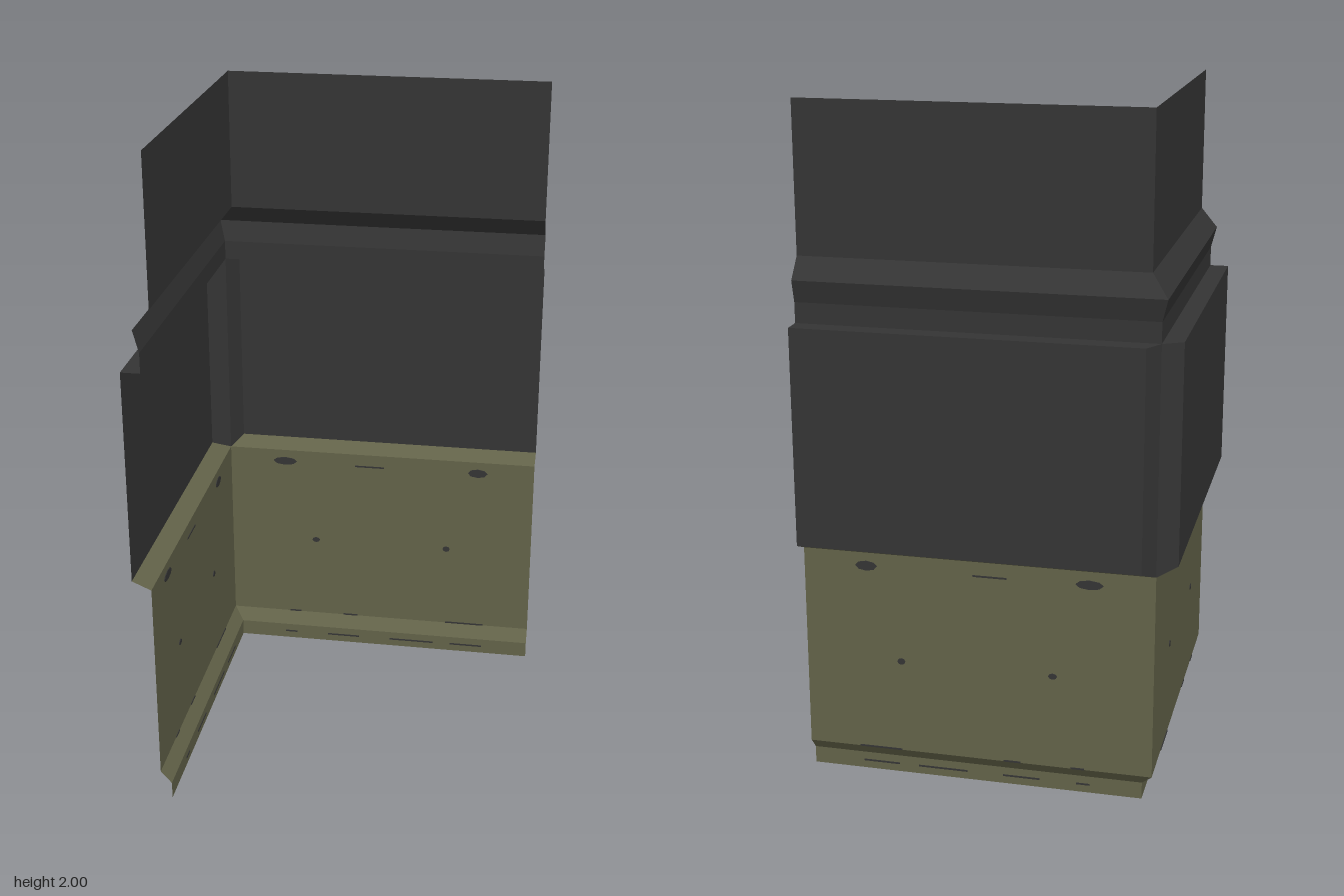
import * as THREE from 'three';

export function createModel() {
  const model = new THREE.Group();
  model.name = 'cornerWall';
  const dark = new THREE.MeshStandardMaterial({ color: 0x343434, side: THREE.DoubleSide });
  dark.name = 'darkGrey';
  const olive = new THREE.MeshStandardMaterial({ color: 0x626248, side: THREE.DoubleSide });
  olive.name = 'olive';

  const END = 0.545;
  // section rows: height, offset of the sheet, where it meets the corner
  const upperRows = [
    [2, -0.455, -0.455], [1.565, -0.455, -0.455], [1.505, -0.505, -0.505],
    [1.44, -0.488, -0.488], [1.38, -0.488, -0.488], [1.38, -0.545, -0.455], [0.735, -0.545, -0.455],
  ];
  const lowerRows = [
    [0.735, -0.545, -0.455], [0.71, -0.488, -0.488], [0.09, -0.488, -0.488],
    [0.052, -0.455, -0.455], [0, -0.455, -0.455],
  ];

  // flat quads, each given as a, b, c, d anticlockwise seen from inside the corner;
  // swapping x and z mirrors them onto the side wall
  function quadMesh(name, quads, material, swap) {
    const pos = [];
    for (const [a, b, c, d] of quads) {
      for (const p of swap ? [a, c, b, a, d, c] : [a, b, c, a, c, d]) {
        pos.push(...(swap ? [p[2], p[1], p[0]] : p));
      }
    }
    const geometry = new THREE.BufferGeometry();
    geometry.setAttribute('position', new THREE.Float32BufferAttribute(pos, 3));
    geometry.computeVertexNormals();
    const mesh = new THREE.Mesh(geometry, material);
    mesh.name = name;
    return mesh;
  }

  function sheet(rows) {
    const quads = [];
    for (let i = 0; i < rows.length - 1; i++) {
      const [y0, d0, e0] = rows[i], [y1, d1, e1] = rows[i + 1];
      quads.push([[e0, y0, d0], [e1, y1, d1], [END, y1, d1], [END, y0, d0]]);
    }
    return quads;
  }

  // worn spots: along, height, width, tall, sheet offset
  const spots = [
    [-0.3, 0.67, 0.08, 0.028, -0.488], [0.357, 0.67, 0.065, 0.03, -0.488],
    [-0.195, 0.378, 0.026, 0.018, -0.488], [0.257, 0.378, 0.024, 0.02, -0.488],
  ];
  // thin scratches: from, to, height, sheet offset
  const scratches = [
    [-0.06, 0.04, 0.667, -0.488], [-0.29, -0.25, 0.092, -0.488],
    [-0.1, -0.05, 0.092, -0.488], [0.26, 0.39, 0.092, -0.488],
    [-0.3, -0.26, 0.026, -0.455], [-0.15, -0.04, 0.026, -0.455],
    [0.07, 0.22, 0.026, -0.455], [0.28, 0.39, 0.026, -0.455],
  ];
  const spotGeometry = new THREE.CylinderGeometry(0.5, 0.5, 0.005, 8).rotateX(Math.PI / 2);

  for (const swap of [false, true]) {
    const wall = new THREE.Group();
    wall.name = swap ? 'sideWall' : 'backWall';
    wall.add(quadMesh('upperPanel', sheet(upperRows), dark, swap));
    wall.add(quadMesh('lowerPanel', sheet(lowerRows), olive, swap));

    // half of the recessed corner strip
    wall.add(quadMesh('cornerStrip', [[
      [-0.488, 1.38, -0.488], [-0.488, 0.71, -0.488], [-0.455, 0.735, -0.545], [-0.455, 1.38, -0.545],
    ]], dark, swap));

    const place = (mesh, along, y, offset) => {
      if (swap) {
        mesh.position.set(offset, y, 0.07 - along);
        mesh.rotation.y = Math.PI / 2;
      } else mesh.position.set(along, y, offset);
      wall.add(mesh);
    };
    for (const [u, y, w, h, d] of spots) {
      const spot = new THREE.Mesh(spotGeometry, dark);
      spot.name = 'wornSpot';
      spot.scale.set(w, h, 1);
      place(spot, u, y, d);
    }
    for (const [u0, u1, y, d] of scratches) {
      const scratch = new THREE.Mesh(new THREE.BoxGeometry(u1 - u0, 0.005, 0.004), dark);
      scratch.name = 'scratch';
      place(scratch, (u0 + u1) / 2, y, d);
    }
    model.add(wall);
  }
  return model;
}
